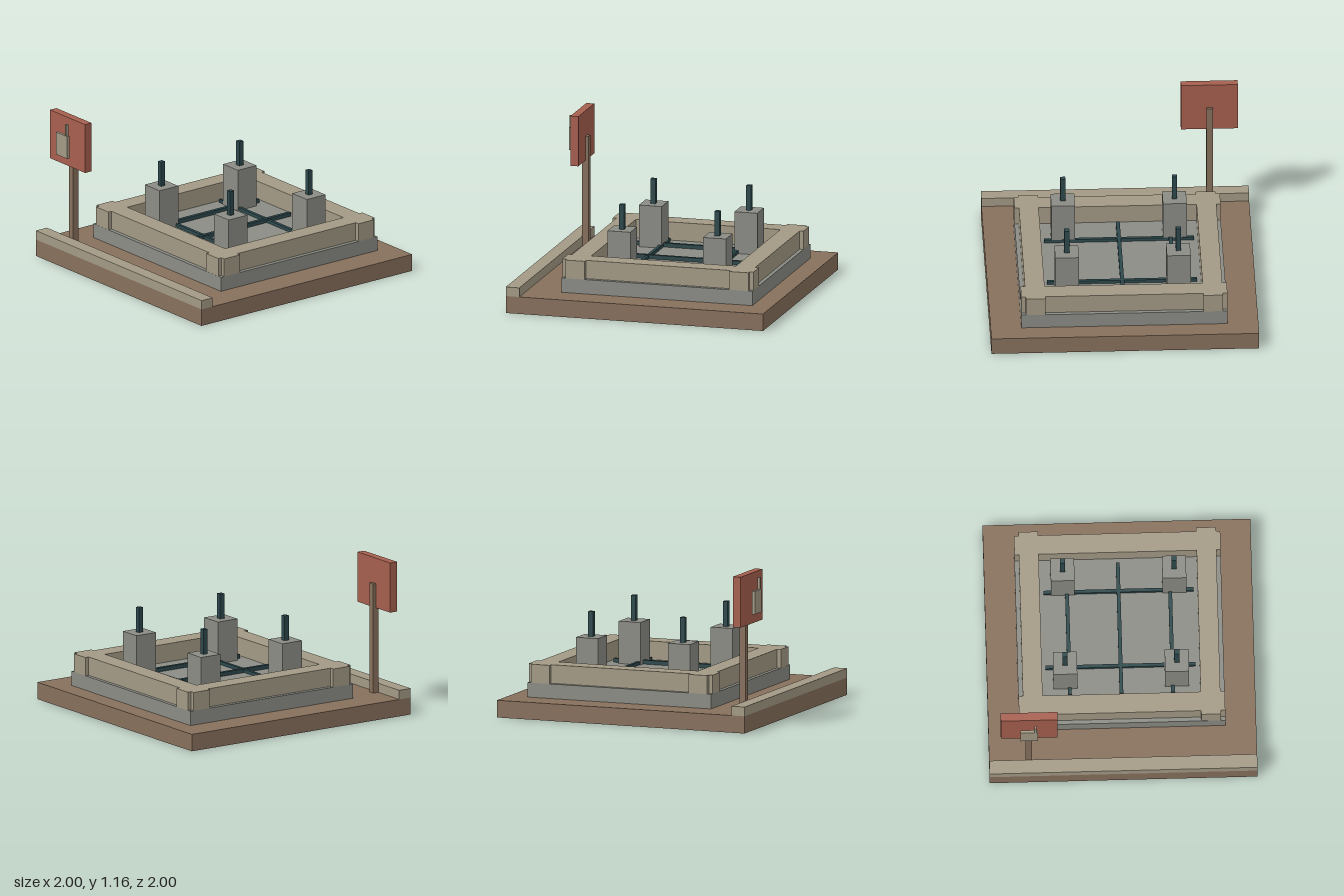
import * as THREE from 'three';

const material = (name, color) => {
  const m = new THREE.MeshStandardMaterial({ color });
  m.name = name;
  return m;
};

export function createModel() {
  const model = new THREE.Group();
  model.name = 'foundationSite';

  const earth = material('earthBrown', 0x87705c);
  const sand = material('sandTan', 0xa39a85);
  const concrete = material('concreteGrey', 0x8b8c85);
  const steel = material('darkSteel', 0x2c484c);
  const red = material('signRed', 0xa65f4e);

  // Box given by its extents along each axis
  const box = (name, mat, [x0, x1], [y0, y1], [z0, z1], parent = model) => {
    const mesh = new THREE.Mesh(new THREE.BoxGeometry(x1 - x0, y1 - y0, z1 - z0), mat);
    mesh.position.set((x0 + x1) / 2, (y0 + y1) / 2, (z0 + z1) / 2);
    mesh.name = name;
    parent.add(mesh);
    return mesh;
  };
  const around = (c, size) => [c - size / 2, c + size / 2];

  // Ground, front kerb and footing slab
  box('ground', earth, [-1, 1], [0, 0.13], [-1, 1]);
  box('frontKerb', sand, [-1, 1], [0.13, 0.2], [0.895, 1]);
  box('footingSlab', concrete, [-0.77, 0.77], [0.13, 0.24], [-0.85, 0.635]);

  // Perimeter wall with notched, projecting corners, extruded upwards
  const zc = -0.108;
  const outline = [];
  const corner = [[0.77, 0.562], [0.77, 0.712], [0.737, 0.712], [0.737, 0.742], [0.59, 0.742], [0.59, 0.712]];
  corner.unshift([0.737, 0.562]);
  for (const [sx, sy] of [[1, 1], [-1, 1], [-1, -1], [1, -1]]) {
    const pts = corner.map(([x, y]) => new THREE.Vector2(x * sx, y * sy));
    if (sx * sy < 0) pts.reverse();
    outline.push(...pts);
  }
  const wallShape = new THREE.Shape(outline);
  wallShape.holes.push(new THREE.Path([
    new THREE.Vector2(-0.59, -0.562), new THREE.Vector2(-0.59, 0.562),
    new THREE.Vector2(0.59, 0.562), new THREE.Vector2(0.59, -0.562),
  ]));
  const wall = new THREE.Mesh(
    new THREE.ExtrudeGeometry(wallShape, { depth: 0.14, bevelEnabled: false }), sand);
  wall.rotation.x = -Math.PI / 2;
  wall.position.set(0, 0.24, zc);
  wall.name = 'perimeterWall';
  model.add(wall);

  // Reinforcement grid on the slab
  const grid = new THREE.Group();
  grid.name = 'reinforcementGrid';
  model.add(grid);
  for (const z of [-0.408, 0.187])
    box('crossBar', steel, [-0.56, 0.56], [0.24, 0.265], around(z, 0.025), grid);
  for (const x of [-0.385, 0, 0.385])
    box('longBar', steel, around(x, 0.028), [0.24, 0.27], [-0.627, 0.41], grid);

  // Four piers with protruding starter bars
  for (const x of [-0.417, 0.417]) {
    for (const z of [-0.478, 0.265]) {
      box('pier', concrete, around(x, 0.178), [0.24, 0.56], around(z, 0.178));
      box('starterBar', steel, around(x, 0.038), [0.56, 0.75], around(z, 0.038));
    }
  }

  // Site sign with its floating emblem plate
  const sign = new THREE.Group();
  sign.name = 'siteSign';
  model.add(sign);
  box('signPost', earth, [-0.73, -0.68], [0.13, 0.97], [0.848, 0.897], sign);
  box('signBoard', red, [-0.915, -0.49], [0.783, 1.165], [0.872, 0.934], sign);
  box('emblemBody', sand, [-0.77, -0.637], [0.865, 1.04], [0.966, 0.988], sign);
  box('emblemMast', sand, [-0.665, -0.65], [1.04, 1.13], [0.966, 0.988], sign);

  return model;
}
